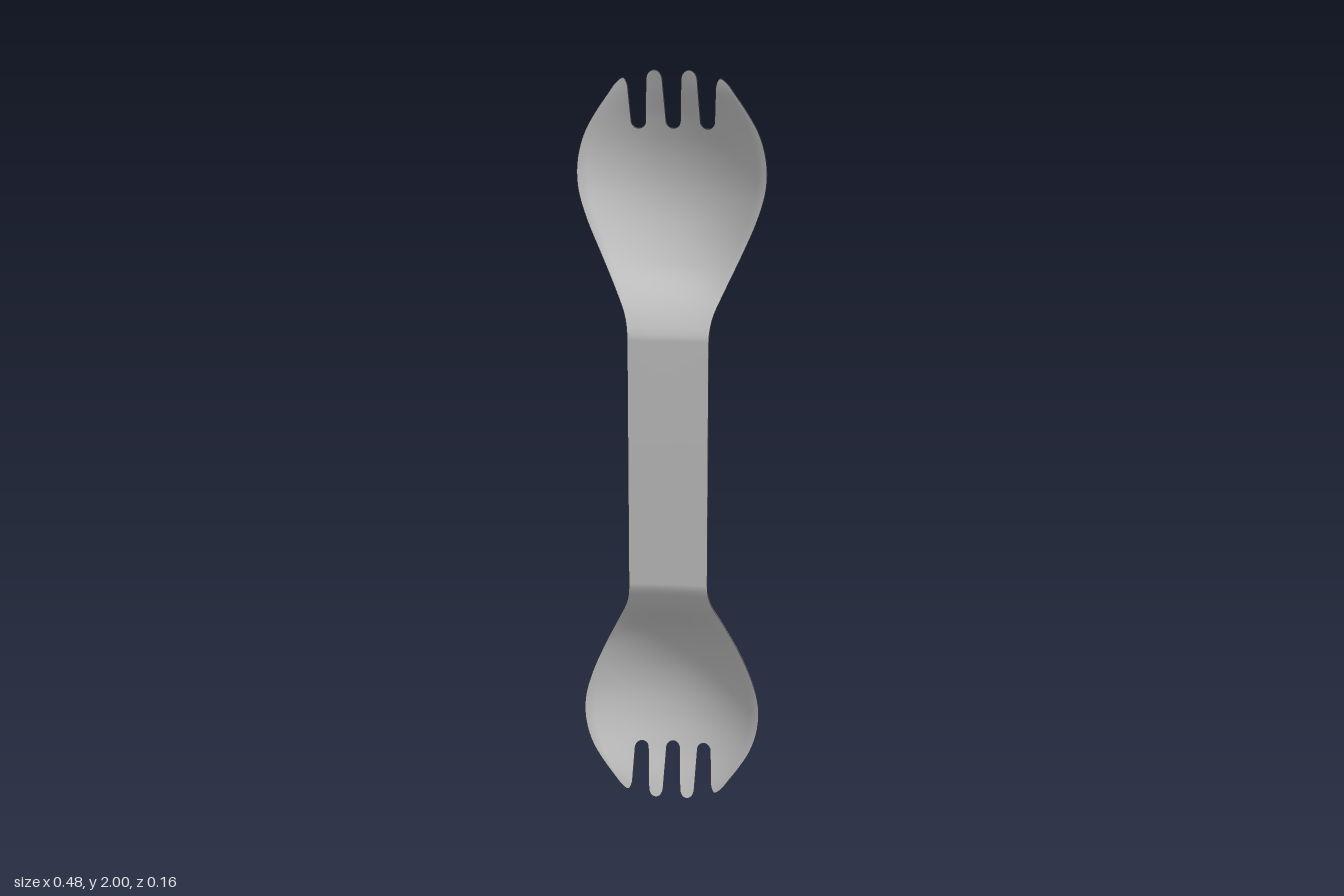
import * as THREE from 'three';
import { mergeGeometries } from 'three/addons/utils/BufferGeometryUtils.js';

const THICK = 0.008, ROOT = 1.85, SLOT = 0.087;

// Smooth curve through [y, value] points, constant beyond the ends
function profile(pts) {
  const slope = (i) => {
    const a = pts[Math.max(i - 1, 0)], b = pts[Math.min(i + 1, pts.length - 1)];
    return i === 0 ? 0 : (b[1] - a[1]) / (b[0] - a[0]);
  };
  return (y) => {
    if (y <= pts[0][0]) return pts[0][1];
    const n = pts.length - 1;
    if (y >= pts[n][0]) return pts[n][1];
    let i = 0;
    while (y > pts[i + 1][0]) i++;
    const h = pts[i + 1][0] - pts[i][0], t = (y - pts[i][0]) / h, t2 = t * t, t3 = t2 * t;
    return (2 * t3 - 3 * t2 + 1) * pts[i][1] + (t3 - 2 * t2 + t) * h * slope(i)
      + (3 * t2 - 2 * t3) * pts[i + 1][1] + (t3 - t2) * h * slope(i + 1);
  };
}

// Half width, depth along the rim and depth along the centre line (back surface)
const halfWidth = profile([[1.33, 0.104], [1.39, 0.112], [1.45, 0.138], [1.54, 0.18], [1.62, 0.214],
  [1.69, 0.235], [1.745, 0.24], [1.8, 0.233], [1.85, 0.216], [1.9, 0.187], [1.95, 0.152], [1.98, 0.132], [2, 0.115]]);
const rimZ = profile([[1.33, 0.074], [1.39, 0.055], [1.45, 0.026], [1.53, 0], [1.6, -0.008], [1.75, -0.011], [1.9, -0.009], [2, -0.006]]);
const centreZ = profile([[1.33, 0.074], [1.37, 0.062], [1.42, 0.034], [1.5, -0.024], [1.6, -0.065],
  [1.69, -0.08], [1.78, -0.074], [1.87, -0.051], [1.95, -0.022], [2, -0.005]]);

function depth(x, y) {
  const u = Math.min(Math.abs(x) / halfWidth(y), 1);
  return rimZ(y) + (centreZ(y) - rimZ(y)) * (1 - u ** 2.1);
}

// Indexed grid of points
function grid(rows, cols, point) {
  const pos = [], index = [];
  for (let i = 0; i <= rows; i++) for (let j = 0; j <= cols; j++) {
    pos.push(...point(i, j));
    if (i < rows && j < cols) {
      const a = i * (cols + 1) + j, b = a + cols + 1;
      index.push(a, a + 1, b + 1, a, b + 1, b);
    }
  }
  const g = new THREE.BufferGeometry();
  g.setAttribute('position', new THREE.Float32BufferAttribute(pos, 3));
  g.setIndex(index);
  g.computeVertexNormals();
  return g;
}

// Exact surface normals keep the shading continuous between parts
function shade(g, sign) {
  const p = g.attributes.position, n = g.attributes.normal, e = 0.004, v = new THREE.Vector3();
  for (let i = 0; i < p.count; i++) {
    const x = p.getX(i), y = p.getY(i);
    v.set((depth(x - e, y) - depth(x + e, y)) / (2 * e), (depth(x, y - e) - depth(x, y + e)) / (2 * e), 1)
      .normalize().multiplyScalar(sign);
    n.setXYZ(i, v.x, v.y, v.z);
  }
  return g;
}

const material = new THREE.MeshStandardMaterial({ color: 0xcccccc });

// Thin curved plate: front, back and the two side edges
function plate(name, ys, cols, xAt) {
  const at = (i, j, front) => {
    const y = ys[i], x = xAt(j, y);
    return [x, y, depth(x, y) + (front ? THICK : 0)];
  };
  const rows = ys.length - 1;
  const mesh = new THREE.Mesh(mergeGeometries([
    shade(grid(rows, cols, (i, j) => at(i, j, true)), 1),
    shade(grid(rows, cols, (i, j) => at(i, cols - j, false)), -1),
    grid(rows, 1, (i, j) => at(i, cols, j === 0)),
    grid(rows, 1, (i, j) => at(i, 0, j === 1)),
  ]), material);
  mesh.name = name;
  return mesh;
}

const steps = (a, b, n, ease = (t) => t) =>
  Array.from({ length: n + 1 }, (_, i) => a + (b - a) * ease(i / n));

// Half width of a slot: rounded bottom, slightly flared sides
function slotHalf(y) {
  const d = y - ROOT, r = 0.018;
  return d < r ? Math.sqrt(Math.max(0, r * r - (r - d) ** 2)) : r + (d - r) * 0.05;
}

// Left and right edges of tine k (0..3) at height y, closing to a round tip
function tineEdges(k, y) {
  const tip = k === 0 || k === 3 ? 1.98 : 2, r = 0.024;
  const s = slotHalf(y);
  const left = k === 0 ? -halfWidth(y) : (k - 2) * SLOT + s;
  const right = k === 3 ? halfWidth(y) : (k - 1) * SLOT - s;
  const q = Math.max(0, (y - tip + r) / r);
  const f = Math.sqrt(Math.max(0, 1 - q * q)), mid = (left + right) / 2;
  return [mid + (left - mid) * f, mid + (right - mid) * f];
}

const TC = 6; // columns per tine
const tineX = (k) => (j, y) => {
  const [a, b] = tineEdges(k, y);
  return a + (b - a) * j / TC;
};

function createEnd(name) {
  const end = new THREE.Group();
  end.name = name;
  // Bowl columns line up with the tine roots
  const fractions = [];
  for (let k = 0; k < 4; k++)
    for (let j = k ? 1 : 0; j <= TC; j++) fractions.push(tineX(k)(j, ROOT) / halfWidth(ROOT));
  end.add(plate('bowl', steps(1.33, ROOT, 30), fractions.length - 1, (j, y) => fractions[j] * halfWidth(y)));
  for (let k = 0; k < 4; k++) {
    const tip = k === 0 || k === 3 ? 1.98 : 2;
    const ys = steps(ROOT, tip, 20, (t) => (1 - Math.cos(Math.PI * t)) / 2);
    end.add(plate(k === 0 || k === 3 ? 'outerTine' : 'innerTine', ys, TC, tineX(k)));
  }
  return end;
}

export function createModel() {
  const model = new THREE.Group();
  model.name = 'doubleEndedSpork';
  model.add(plate('handle', [0.67, 1, 1.33], 2, (j) => (j - 1) * halfWidth(1)));
  model.add(createEnd('upperEnd'));
  // Lower end is the same piece turned half a turn about the handle's middle
  const lower = createEnd('lowerEnd');
  lower.rotation.z = Math.PI;
  lower.position.y = 2;
  model.add(lower);
  return model;
}
